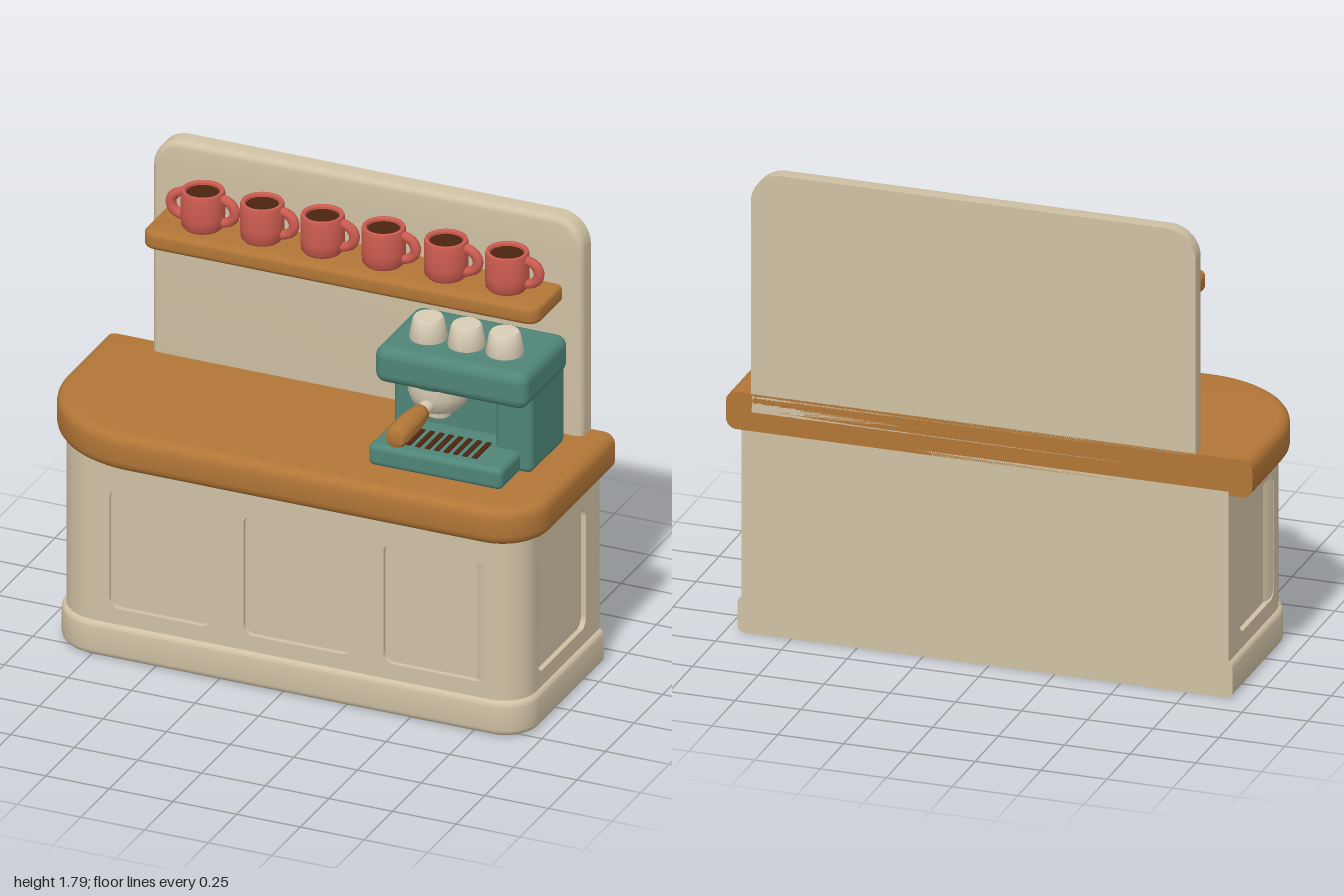
import * as THREE from 'three';
import { toCreasedNormals } from 'three/addons/utils/BufferGeometryUtils.js';
import { RoundedBoxGeometry } from 'three/addons/geometries/RoundedBoxGeometry.js';

const material = (name, color, side = THREE.FrontSide) => {
  const m = new THREE.MeshStandardMaterial({ color, side });
  m.name = name;
  return m;
};

// Rounded rectangle; radii run bottom-left, bottom-right, top-right, top-left
function roundRect(x0, y0, x1, y1, [a, b, c, d], Type = THREE.Shape) {
  const s = new Type();
  s.moveTo(x0 + a, y0);
  s.lineTo(x1 - b, y0);
  if (b) s.absarc(x1 - b, y0 + b, b, -Math.PI / 2, 0, false);
  s.lineTo(x1, y1 - c);
  if (c) s.absarc(x1 - c, y1 - c, c, 0, Math.PI / 2, false);
  s.lineTo(x0 + d, y1);
  if (d) s.absarc(x0 + d, y1 - d, d, Math.PI / 2, Math.PI, false);
  s.lineTo(x0, y0 + a);
  if (a) s.absarc(x0 + a, y0 + a, a, Math.PI, Math.PI * 1.5, false);
  return s;
}

// Extrude with a soft bevel that stays inside the given depth
function softExtrude(shape, depth, bevel) {
  const g = new THREE.ExtrudeGeometry(shape, {
    depth: depth - 2 * bevel, bevelEnabled: bevel > 0, bevelThickness: bevel,
    bevelSize: bevel, bevelSegments: 4, curveSegments: 14,
  });
  return g.translate(0, 0, bevel);
}

// Flatten everything behind zBack so the rear is a plain wall
function flatBack(g, zBack) {
  const p = g.attributes.position;
  for (let i = 0; i < p.count; i++) p.setZ(i, Math.max(p.getZ(i), zBack));
  return toCreasedNormals(g, 0.6);
}

// Horizontal slab with rounded front corners and a flat back
function slab(x0, x1, zBack, zFront, y0, y1, rLeft, rRight, bevel) {
  const shape = roundRect(x0 + bevel, bevel - zFront, x1 - bevel, 2 * bevel - zBack,
    [rLeft - bevel, rRight - bevel, 0, 0]);
  const g = softExtrude(shape, y1 - y0, bevel);
  g.rotateX(-Math.PI / 2).translate(0, y0, 0);
  return flatBack(g, zBack);
}

// Thin board with rounded openings, each [u0, u1]
function panelBoard(u0, u1, openings) {
  const s = roundRect(u0, 0.12, u1, 0.8, [0, 0, 0, 0]);
  for (const [a, b] of openings) {
    s.holes.push(roundRect(a, 0.2, b, 0.68, [0.04, 0.04, 0.04, 0.04], THREE.Path));
  }
  return softExtrude(s, 0.02, 0);
}

const lathe = (points, segments = 32) => toCreasedNormals(
  new THREE.LatheGeometry(points.map(([r, y]) => new THREE.Vector2(r, y)), segments), 0.7);

export function createModel() {
  const cream = material('cream paint', 0xd0c1a4);
  const wood = material('warm wood', 0xb27637);
  const teal = material('teal enamel', 0x4f8578);
  const red = material('red glaze', 0xcb5b4f);
  const dark = material('dark coffee', 0x4a2410);
  const china = material('pale china', 0xd8ccb5);

  const model = new THREE.Group();
  model.name = 'coffeeCounter';
  const add = (name, geometry, mat, x = 0, y = 0, z = 0, parent = model) => {
    const m = new THREE.Mesh(geometry, mat);
    m.name = name;
    m.position.set(x, y, z);
    parent.add(m);
    return m;
  };
  const box = (name, mat, x0, x1, y0, y1, z0, z1, r, parent) => add(name,
    new RoundedBoxGeometry(x1 - x0, y1 - y0, z1 - z0, 4, r), mat,
    (x0 + x1) / 2, (y0 + y1) / 2, (z0 + z1) / 2, parent);

  // Cabinet: inset core, boards with openings, round corner posts
  const cabinet = new THREE.Group();
  cabinet.name = 'cabinet';
  model.add(cabinet);
  add('cabinetCore', slab(-0.89, 0.92, -0.39, 0.27, 0.05, 0.8, 0.15, 0.1, 0), cream, 0, 0, 0, cabinet);
  add('frontBoard', panelBoard(-0.74, 0.82, [[-0.68, -0.28], [-0.155, 0.27], [0.395, 0.8]]),
    cream, 0, 0, 0.27, cabinet);
  add('leftBoard', panelBoard(-0.17, 0.39, [[-0.15, 0.27]]).rotateY(Math.PI / 2), cream, 0.92, 0, 0, cabinet);
  add('rightBoard', panelBoard(-0.12, 0.39, [[-0.1, 0.27]]).rotateY(Math.PI / 2), cream, -0.91, 0, 0, cabinet);
  add('rightCornerPost', new THREE.CylinderGeometry(0.17, 0.17, 0.68, 48), cream, -0.74, 0.46, 0.12, cabinet);
  add('leftCornerPost', new THREE.CylinderGeometry(0.12, 0.12, 0.68, 40), cream, 0.82, 0.46, 0.17, cabinet);
  add('plinth', slab(-0.925, 0.955, -0.39, 0.305, 0, 0.14, 0.18, 0.13, 0.025), cream, 0, 0, 0, cabinet);

  // Worktop with one broad and one tight front corner
  add('worktop', slab(-1, 1, -0.39, 0.36, 0.785, 0.93, 0.41, 0.19, 0.04), wood);

  // Backboard and shelf
  const b = 0.025;
  const board = softExtrude(roundRect(-0.785 + b, 0.88, 0.905 - b, 1.79 - b, [0, 0, 0.09, 0.09]), 0.13, b);
  add('backboard', flatBack(board.translate(0, 0, -0.445), -0.39), cream);
  add('shelf', slab(-0.73, 0.825, -0.33, -0.09, 1.455, 1.525, 0.05, 0.05, 0.018), wood);

  // Mugs on the shelf
  const mugBody = lathe([[0, 0], [0.068, 0], [0.078, 0.012], [0.08, 0.05], [0.08, 0.138], [0.077, 0.148],
    [0.07, 0.15], [0.062, 0.145], [0.06, 0.12], [0, 0.12]]);
  const mugHandle = new THREE.TorusGeometry(0.042, 0.016, 10, 24, Math.PI);
  mugHandle.rotateZ(-Math.PI / 2).scale(1.25, 1.1, 1.15);
  const coffee = new THREE.CylinderGeometry(0.0605, 0.0605, 0.008, 28);
  [-0.54, -0.307, -0.07, 0.17, 0.415, 0.655].forEach((x, i) => {
    const mug = new THREE.Group();
    mug.name = 'mug';
    mug.position.set(x, 1.525, -0.215);
    model.add(mug);
    add('mugBody', mugBody, red, 0, 0, 0, mug);
    add('mugCoffee', coffee, dark, 0, 0.132, 0, mug);
    add('mugHandle', mugHandle, red, 0.073, 0.077, 0, mug);
    if (i === 0) add('mugHandle', mugHandle, red, -0.073, 0.077, 0, mug).rotation.y = Math.PI;
  });

  // Coffee machine: back, side pillar, head and drip tray
  const machine = new THREE.Group();
  machine.name = 'coffeeMachine';
  model.add(machine);
  box('machineBack', teal, 0.275, 0.86, 0.925, 1.3, -0.27, -0.06, 0.025, machine);
  box('machinePillar', teal, 0.715, 0.86, 0.925, 1.3, -0.27, 0.03, 0.025, machine);
  box('machineHead', teal, 0.27, 0.87, 1.21, 1.355, -0.285, 0.108, 0.042, machine);
  box('dripTray', teal, 0.29, 0.815, 0.925, 1.01, -0.1, 0.195, 0.022, machine);
  for (let i = 0; i < 9; i++) {
    const x = 0.38 + i * 0.037;
    box('trayGrille', dark, x, x + 0.02, 1.006, 1.015, 0.01, 0.145, 0.003, machine);
  }

  // Brew head, spout and filter handle
  add('brewHead', lathe([[0, 0], [0.045, 0], [0.048, 0.022], [0.075, 0.032], [0.1, 0.06], [0.113, 0.1],
    [0.113, 0.14]]), china, 0.48, 1.08, -0.01, machine);
  add('filterNeck', new THREE.CylinderGeometry(0.026, 0.026, 0.12, 20).rotateX(Math.PI / 2),
    china, 0.48, 1.155, 0.12, machine);
  add('filterHandle', lathe([[0, 0], [0.026, 0], [0.034, 0.008], [0.037, 0.03], [0.043, 0.1], [0.043, 0.215],
    [0.036, 0.234], [0.025, 0.24], [0, 0.24]]).rotateX(Math.PI / 2), wood, 0.48, 1.155, 0.145, machine);

  // Upturned cups on the machine
  const cup = lathe([[0, 0], [0.068, 0], [0.07, 0.008], [0.057, 0.077], [0.051, 0.086], [0, 0.086]]);
  for (const x of [0.42, 0.57, 0.72]) add('upturnedCup', cup, china, x, 1.353, -0.05, machine);

  return model;
}
